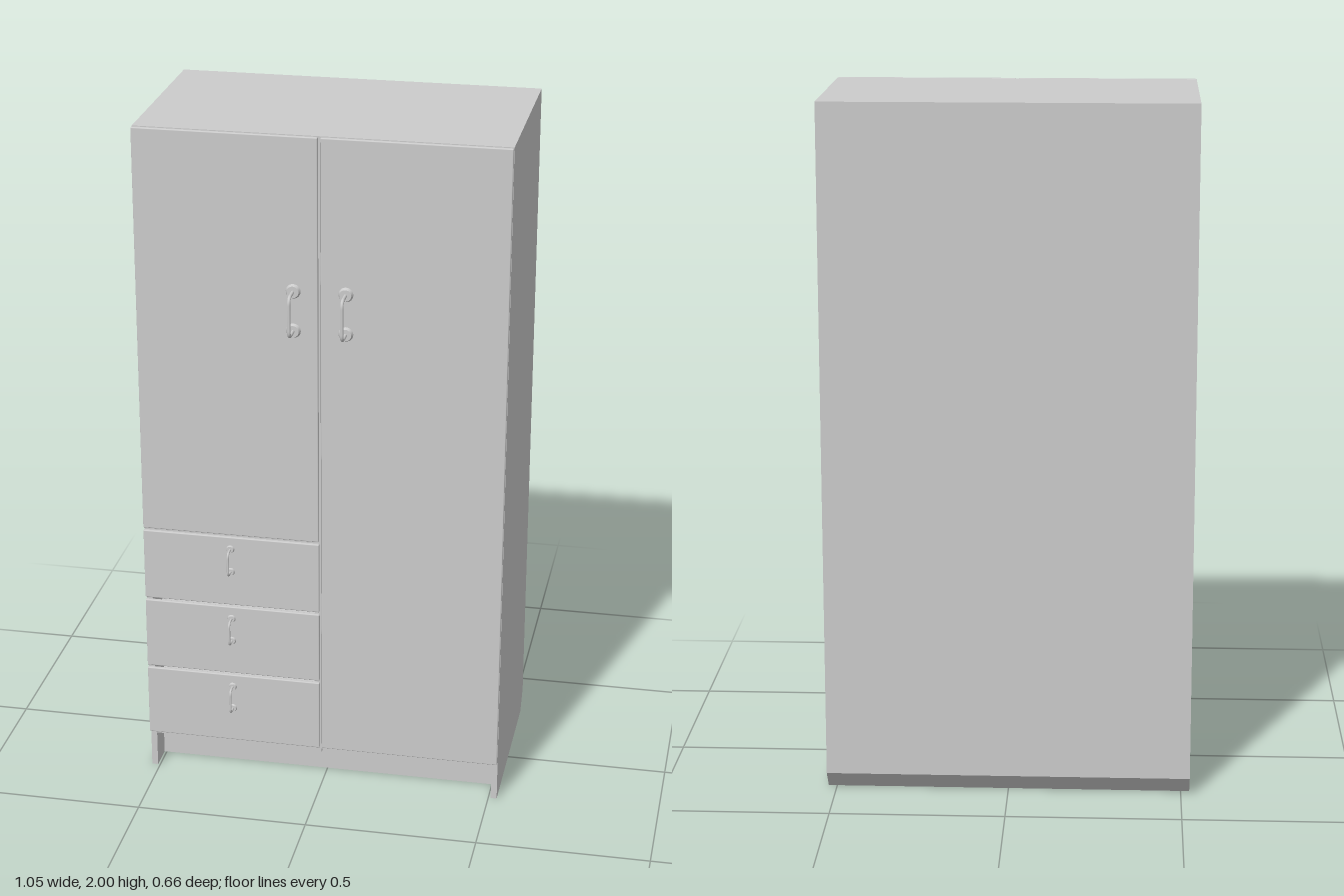
import * as THREE from 'three';
import { RoundedBoxGeometry } from 'three/addons/geometries/RoundedBoxGeometry.js';

const HALF = 0.525, T = 0.018, BACK = -0.33, FRONT = 0.248, H = 2;
const DOOR_BACK = 0.253, DOOR_FRONT = 0.265;

export function createModel() {
  const model = new THREE.Group();
  model.name = 'wardrobe';
  const mat = new THREE.MeshStandardMaterial({ color: 0xcccccc });

  function add(name, geometry, parent = model) {
    const mesh = new THREE.Mesh(geometry, mat);
    mesh.name = name;
    parent.add(mesh);
    return mesh;
  }
  // Box given by its limits on each axis
  function box(name, x0, x1, y0, y1, z0, z1) {
    const mesh = add(name, new THREE.BoxGeometry(x1 - x0, y1 - y0, z1 - z0));
    mesh.position.set((x0 + x1) / 2, (y0 + y1) / 2, (z0 + z1) / 2);
    return mesh;
  }
  // Extrude a [z, y] outline along x, centred on x = 0
  function profile(points, width) {
    const shape = new THREE.Shape(points.map(([z, y]) => new THREE.Vector2(z, y)));
    const g = new THREE.ExtrudeGeometry(shape, { depth: width, bevelEnabled: false });
    g.translate(0, 0, -width / 2);
    return g.rotateY(-Math.PI / 2);
  }
  // Door or drawer front with softened edges
  function panel(name, x0, x1, y0, y1) {
    const d = DOOR_FRONT - DOOR_BACK;
    const mesh = add(name, new RoundedBoxGeometry(x1 - x0, y1 - y0, d, 2, 0.003));
    mesh.position.set((x0 + x1) / 2, (y0 + y1) / 2, DOOR_BACK + d / 2);
  }
  // Bow handle: bent rod between two round rosettes
  function handle(name, x, y, span, reach, rod, rosette) {
    const group = new THREE.Group();
    group.name = name;
    group.position.set(x, y, DOOR_FRONT);
    const h = span / 2, r = Math.min(0.02, reach * 0.4), end = reach - rod;
    const v = (py, pz) => new THREE.Vector3(0, py, pz);
    const path = new THREE.CurvePath();
    path.add(new THREE.LineCurve3(v(-h, 0), v(-h, end - r)));
    path.add(new THREE.QuadraticBezierCurve3(v(-h, end - r), v(-h, end), v(-h + r, end)));
    path.add(new THREE.LineCurve3(v(-h + r, end), v(h - r, end)));
    path.add(new THREE.QuadraticBezierCurve3(v(h - r, end), v(h, end), v(h, end - r)));
    path.add(new THREE.LineCurve3(v(h, end - r), v(h, 0)));
    add('handleBow', new THREE.TubeGeometry(path, 60, rod, 10), group);
    for (const s of [-1, 1]) {
      const disc = new THREE.CylinderGeometry(rosette * 0.8, rosette, rosette * 0.45, 24);
      disc.rotateX(Math.PI / 2);
      add('handleRosette', disc, group).position.set(0, s * h, rosette * 0.225);
    }
    model.add(group);
  }

  // Carcass: sides with a cut lower back corner
  const sideOutline = [[FRONT, 0], [FRONT, H], [BACK, H], [BACK, 0.055], [-0.285, 0]];
  for (const s of [-1, 1]) {
    add(s < 0 ? 'rightSide' : 'leftSide', profile(sideOutline, T)).position.x = s * (HALF - T / 2);
  }
  const inner = HALF - T;
  box('topPanel', -inner, inner, H - T, H, BACK, FRONT);
  box('backPanel', -inner, inner, 0.055, H - T, BACK, BACK + 0.01);
  box('floorPanel', -inner, inner, 0.11, 0.11 + T, BACK + 0.01, FRONT);
  box('centreDivider', -0.02, -0.002, 0.1, H - T, BACK + 0.01, FRONT);
  box('drawerShelf', -inner, -0.02, 0.785, 0.785 + T, BACK + 0.01, FRONT);
  box('plinth', -inner, inner, 0, 0.11, 0.152, 0.17);
  add('backRail', profile([[BACK, 0.055], [-0.285, 0], [-0.275, 0.008], [-0.32, 0.063]], inner * 2));

  // Doors
  panel('rightDoor', -HALF, -0.006, 0.797, H);
  panel('leftDoor', 0.002, HALF, 0.122, H);
  handle('rightDoorHandle', -0.075, 1.5, 0.116, 0.065, 0.005, 0.021);
  handle('leftDoorHandle', 0.073, 1.5, 0.116, 0.065, 0.005, 0.021);

  // Drawers
  for (let i = 0; i < 3; i++) {
    const y = 0.122 + i * 0.225;
    panel('drawerFront', -HALF, -0.005, y, y + 0.217);
    box('drawerBody', -inner + 0.01, -0.03, y + 0.02, y + 0.18, -0.28, DOOR_BACK);
    handle('drawerHandle', -0.266, 0.266 + i * 0.225, 0.072, 0.038, 0.0035, 0.012);
  }

  // Hinge plates between carcass and doors
  const hinges = [[-1, 1.84], [-1, 1.0], [1, 1.84], [1, 1.18], [1, 0.34]];
  for (const [s, y] of hinges) {
    box('hinge', s * 0.495 - 0.011, s * 0.495 + 0.011, y - 0.015, y + 0.015, FRONT - 0.02, DOOR_BACK);
  }
  return model;
}
